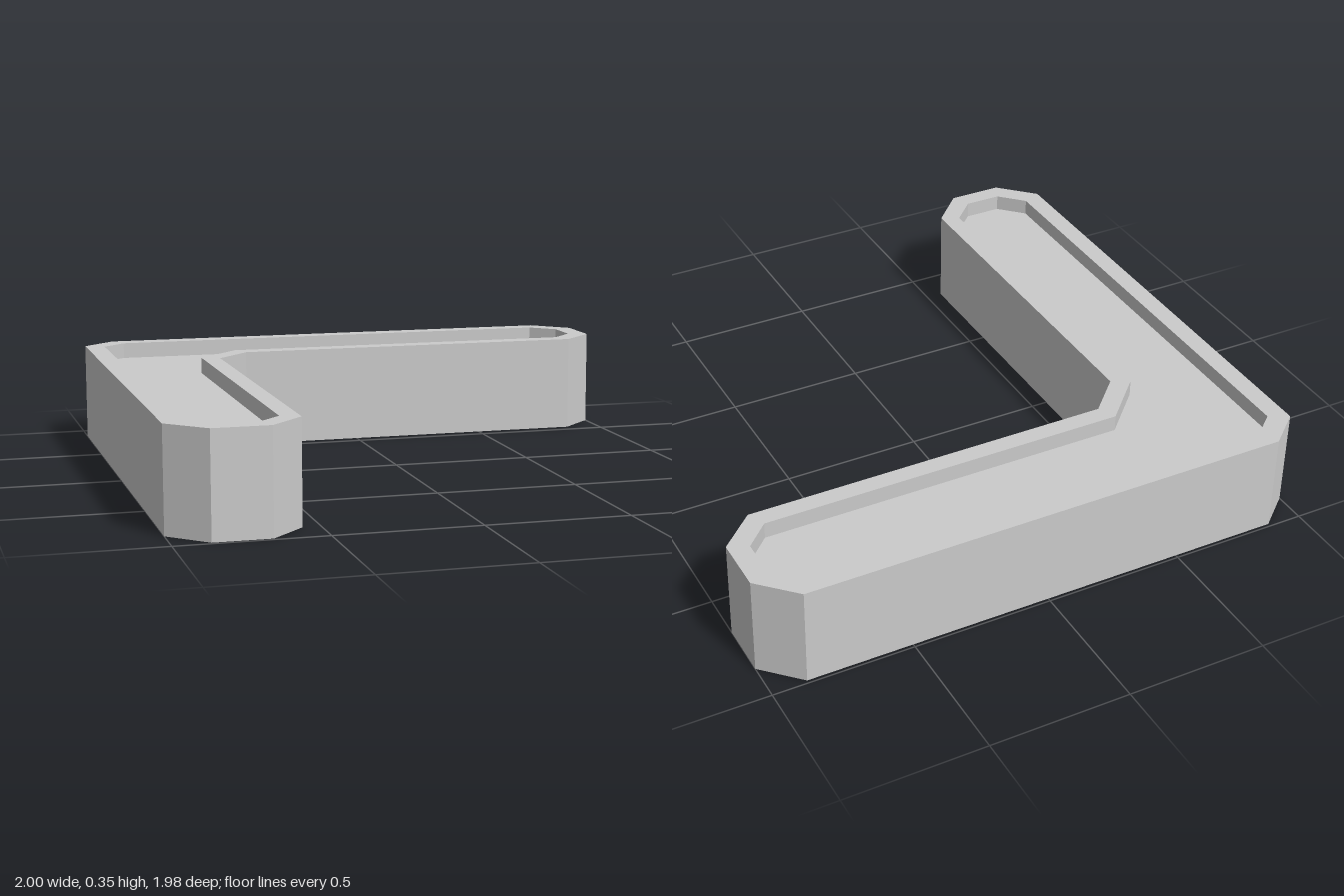
import * as THREE from 'three';

const HEIGHT = 0.355;
const RECESS = 0.058;

// Plan outlines as [x, z] corners of the chamfered L
const OUTER = [
  [-1, -0.885], [-0.88, -0.988], [0.875, -0.988], [1, -0.865], [1, -0.67], [0.875, -0.55],
  [-0.435, -0.55], [-0.56, -0.425], [-0.56, 0.865], [-0.68, 0.988], [-0.875, 0.988], [-1, 0.865],
];
const INNER = [
  [-0.93, -0.85], [-0.845, -0.923], [0.845, -0.923], [0.93, -0.84], [0.93, -0.7], [0.845, -0.615],
  [-0.465, -0.615], [-0.625, -0.455], [-0.625, 0.835], [-0.71, 0.92], [-0.845, 0.92], [-0.93, 0.835],
];

const toPoints = (outline) => outline.map(([x, z]) => new THREE.Vector2(x, z));

// Extrudes a plan shape upward from bottom to top
function slab(name, shape, bottom, top, material) {
  const geometry = new THREE.ExtrudeGeometry(shape, { depth: top - bottom, bevelEnabled: false });
  geometry.rotateX(Math.PI / 2);
  geometry.translate(0, top, 0);
  const mesh = new THREE.Mesh(geometry, material);
  mesh.name = name;
  return mesh;
}

export function createModel() {
  const group = new THREE.Group();
  group.name = 'cornerBlock';
  const material = new THREE.MeshStandardMaterial({ color: 0xcccccc, flatShading: true });

  // Full-height wall that forms the raised rims above and below
  const wallShape = new THREE.Shape(toPoints(OUTER));
  wallShape.holes.push(new THREE.Path(toPoints(INNER)));
  group.add(slab('outerWall', wallShape, 0, HEIGHT, material));

  // Core panel, recessed on both the top and the underside
  const coreShape = new THREE.Shape(toPoints(INNER));
  group.add(slab('recessedCore', coreShape, RECESS, HEIGHT - RECESS, material));

  return group;
}
